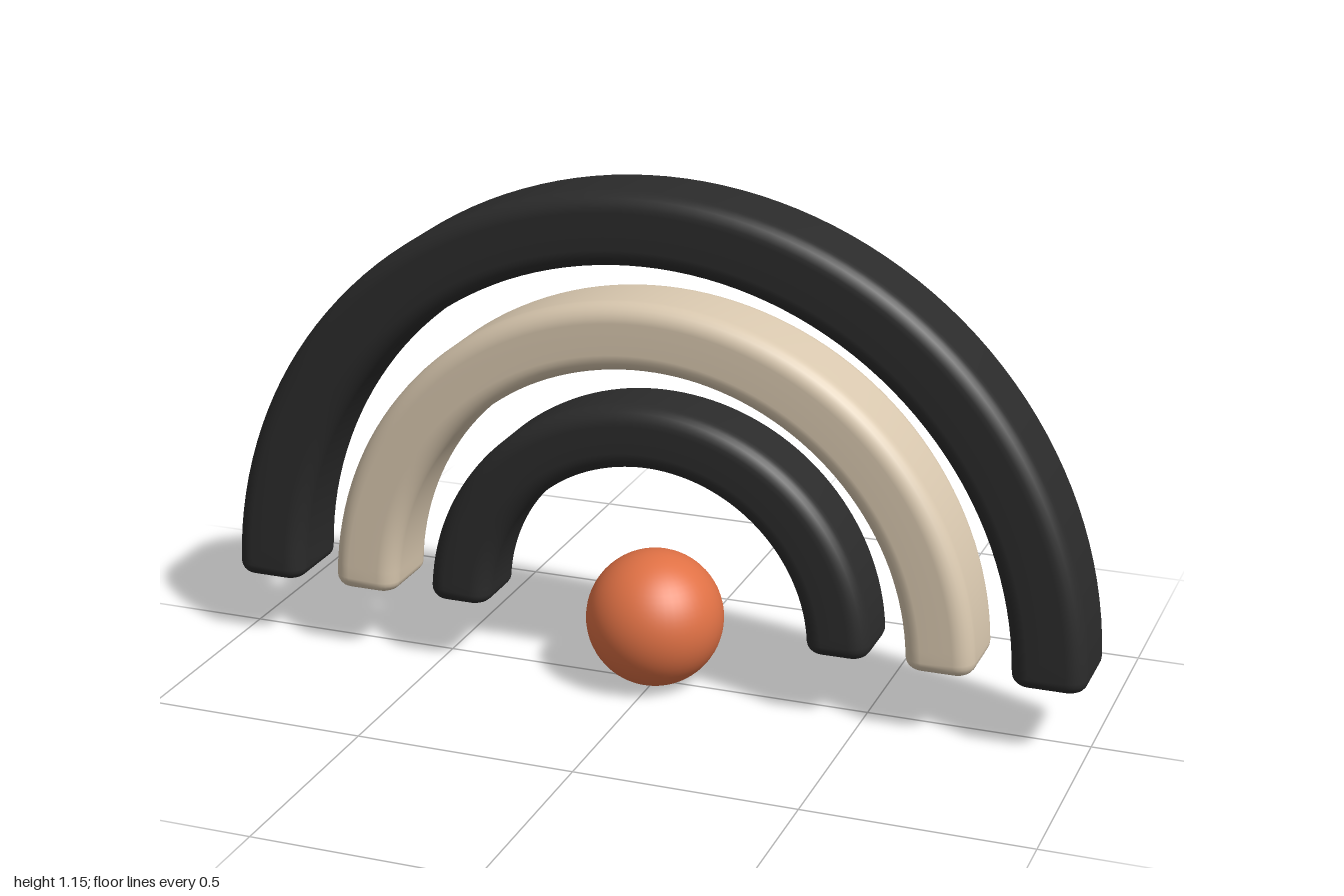
import * as THREE from 'three';

const BASE_Y = 0.157;

// Rounded rectangle section (u radial, v depth), shrunk evenly by an inset
function sectionPoints(halfU, halfV, radius, inset) {
  const steps = 6, points = [];
  const r = radius - inset;
  const corners = [[1, 1], [-1, 1], [-1, -1], [1, -1]];
  corners.forEach(([su, sv], c) => {
    for (let i = 0; i <= steps; i++) {
      const a = (c + i / steps) * Math.PI / 2;
      points.push([
        su * (halfU - radius) + r * Math.cos(a),
        sv * (halfV - radius) + r * Math.sin(a),
      ]);
    }
  });
  return points;
}

// Half-circle bar with rounded long edges and softened feet
function archGeometry(inner, outer, depth) {
  const mid = (inner + outer) / 2, halfU = (outer - inner) / 2;
  const edge = 0.042, footEdge = 0.028, footSteps = 5, arcSteps = 72;

  // Stations along the arc: rounded foot, sweep, mirrored rounded foot
  const start = [];
  for (let i = 0; i <= footSteps; i++) {
    const t = i / footSteps * Math.PI / 2;
    start.push({
      angle: footEdge * (1 - Math.cos(t)) / mid,
      inset: footEdge * (1 - Math.sin(t)),
    });
  }
  const first = footEdge / mid;
  const sweep = [];
  for (let i = 1; i < arcSteps; i++) {
    sweep.push({ angle: first + (Math.PI - 2 * first) * i / arcSteps, inset: 0 });
  }
  const end = start.map(s => ({ angle: Math.PI - s.angle, inset: s.inset })).reverse();
  const stations = [...start, ...sweep, ...end];

  const positions = [], indices = [];
  const addPoint = (u, v, a) =>
    positions.push((mid + u) * Math.cos(a), BASE_Y + (mid + u) * Math.sin(a), v);
  let n = 0;
  for (const { angle, inset } of stations) {
    const ring = sectionPoints(halfU, depth / 2, edge, inset);
    n = ring.length;
    ring.forEach(([u, v]) => addPoint(u, v, angle));
  }
  for (let i = 0; i < stations.length - 1; i++) {
    for (let j = 0; j < n; j++) {
      const k = (j + 1) % n;
      const a = i * n + j, b = i * n + k, c = a + n, d = b + n;
      indices.push(a, c, d, a, d, b);
    }
  }

  // Flat soles of both feet
  const last = (stations.length - 1) * n, centre = stations.length * n;
  addPoint(0, 0, 0);
  addPoint(0, 0, Math.PI);
  for (let j = 0; j < n; j++) {
    const k = (j + 1) % n;
    indices.push(centre, j, k, centre + 1, last + k, last + j);
  }

  const geometry = new THREE.BufferGeometry();
  geometry.setAttribute('position', new THREE.Float32BufferAttribute(positions, 3));
  geometry.setIndex(indices);
  geometry.computeVertexNormals();
  return geometry;
}

export function createModel() {
  const group = new THREE.Group();
  group.name = 'rainbow';

  const charcoal = new THREE.MeshStandardMaterial({ color: 0x2b2b2b });
  charcoal.name = 'charcoal';
  const cream = new THREE.MeshStandardMaterial({ color: 0xd9c8af });
  cream.name = 'cream';
  const orange = new THREE.MeshStandardMaterial({ color: 0xe07145 });
  orange.name = 'orange';

  // Three nested arches
  const arches = [
    ['outerArch', 0.835, 1.0, 0.21, charcoal],
    ['middleArch', 0.6, 0.755, 0.2, cream],
    ['innerArch', 0.375, 0.52, 0.185, charcoal],
  ];
  for (const [name, inner, outer, depth, material] of arches) {
    const arch = new THREE.Mesh(archGeometry(inner, outer, depth), material);
    arch.name = name;
    group.add(arch);
  }

  // Ball at the common centre
  const ball = new THREE.Mesh(new THREE.SphereGeometry(0.155, 48, 32), orange);
  ball.name = 'ball';
  ball.position.y = BASE_Y;
  group.add(ball);

  return group;
}
